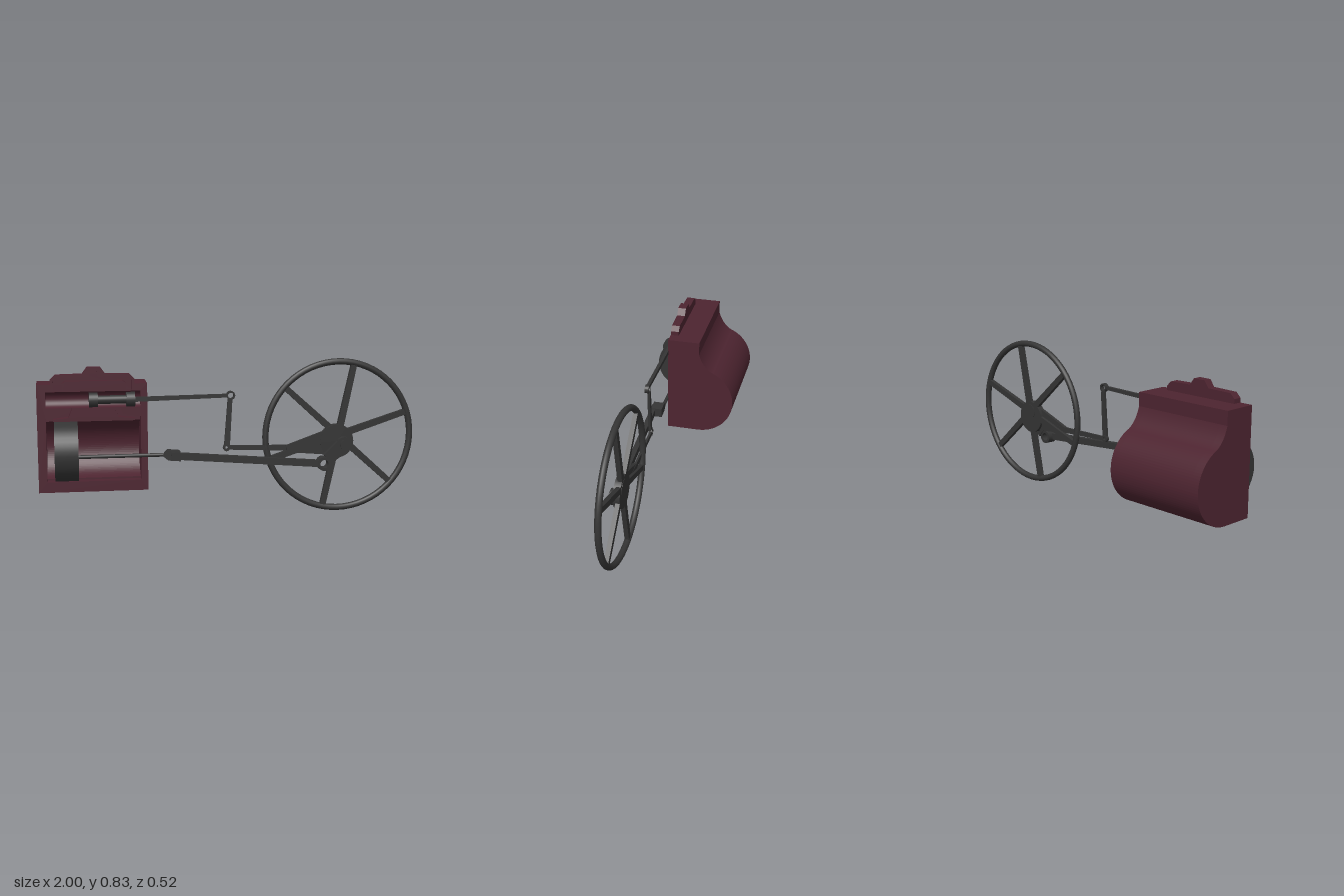
import * as THREE from 'three';

export function createModel() {
  const model = new THREE.Group();
  const red = new THREE.MeshStandardMaterial({ color: 0x4d2430, side: THREE.DoubleSide });
  red.name = 'dark red casting';
  const iron = new THREE.MeshStandardMaterial({ color: 0x343434 });
  iron.name = 'dark iron';

  const add = (name, geometry, material = iron) => {
    const mesh = new THREE.Mesh(geometry, material);
    mesh.name = name;
    model.add(mesh);
    return mesh;
  };
  const poly = (pts) => new THREE.Shape(pts.map(([x, y]) => new THREE.Vector2(x, y)));
  const extrude = (shape, depth) =>
    new THREE.ExtrudeGeometry(shape, { depth, bevelEnabled: false, curveSegments: 20 });
  // plate in the xy plane between two depths
  const plate = (name, shape, z0, z1, material = iron) =>
    add(name, extrude(shape, z1 - z0).translate(0, 0, z0), material);
  // cylinder lying along x
  const roundX = (name, x0, x1, y, z, r, sides = 24) =>
    add(name, new THREE.CylinderGeometry(r, r, x1 - x0, sides).rotateZ(Math.PI / 2).translate((x0 + x1) / 2, y, z));
  // disc facing z
  const disc = (name, x, y, r, z0, z1) =>
    add(name, new THREE.CylinderGeometry(r, r, z1 - z0, 32).rotateX(Math.PI / 2).translate(x, y, (z0 + z1) / 2));
  // flat bar between two points, with a width at each end
  const bar = (name, [ax, ay], [bx, by], wa, wb, z0, z1) => {
    const len = Math.hypot(bx - ax, by - ay);
    const nx = -(by - ay) / len / 2, ny = (bx - ax) / len / 2;
    plate(name, poly([
      [ax - nx * wa, ay - ny * wa], [bx - nx * wb, by - ny * wb],
      [bx + nx * wb, by + ny * wb], [ax + nx * wa, ay + ny * wa],
    ]), z0, z1);
  };
  // ring with an open bore
  const eye = (name, x, y, r, hole, z0, z1) => {
    const s = new THREE.Shape().absarc(x, y, r, 0, Math.PI * 2, false);
    s.holes.push(new THREE.Path().absarc(x, y, hole, 0, Math.PI * 2, true));
    plate(name, s, z0, z1);
  };

  // cylinder casting, extruded along x; the middle section carries the bore
  const profile = (bored) => {
    const s = new THREE.Shape();
    s.moveTo(-0.07, 0.155);
    s.lineTo(0.06, 0.155);
    s.absarc(0.06, 0.355, 0.2, -Math.PI / 2, 1.18, false);
    s.quadraticCurveTo(0.085, 0.57, 0.063, 0.645);
    s.lineTo(0.063, 0.717);
    s.lineTo(-0.07, 0.717);
    if (bored) s.absarc(-0.107, 0.37, 0.155, 1.33, -1.33, true);
    return s;
  };
  const section = (name, x0, x1, bored) =>
    add(name, extrude(profile(bored), x1 - x0).rotateY(Math.PI / 2).translate(x0, 0, 0), red);
  section('leftEndWall', -1, -0.955, false);
  section('cylinderBody', -0.955, -0.47, true);
  section('rightEndWall', -0.47, -0.435, false);

  // cut front face with bore, ports, valve chest and steam channel opened
  const lobe = [
    [-0.5, 0.717], [-0.5, 0.74], [-0.525, 0.765], [-0.65, 0.768], [-0.675, 0.803],
    [-0.742, 0.803], [-0.767, 0.768], [-0.905, 0.765], [-0.93, 0.74], [-0.93, 0.717],
  ];
  const face = poly([[-1, 0.155], [-0.435, 0.155], [-0.435, 0.717], ...lobe, [-1, 0.717]]);
  face.holes.push(poly([
    [-0.955, 0.21], [-0.47, 0.21], [-0.47, 0.545], [-0.56, 0.56], [-0.575, 0.595],
    [-0.47, 0.595], [-0.47, 0.68], [-0.515, 0.68], [-0.515, 0.735], [-0.53, 0.75],
    [-0.685, 0.752], [-0.693, 0.79], [-0.723, 0.79], [-0.731, 0.752],
    [-0.9, 0.75], [-0.915, 0.735], [-0.915, 0.68], [-0.955, 0.68], [-0.955, 0.595],
    [-0.86, 0.595], [-0.875, 0.56], [-0.955, 0.545],
  ]));
  plate('cutFrontFace', face, 0.07, 0.115, red);
  plate('steamChannelBack', poly([[-0.5, 0.68], ...lobe, [-0.93, 0.68]]), 0.07, 0.08, red);
  plate('channelIsland', poly([
    [-0.87, 0.68], [-0.545, 0.68], [-0.545, 0.72], [-0.56, 0.733], [-0.855, 0.733], [-0.87, 0.72],
  ]), 0.07, 0.115, red);
  plate('portIsland', poly([
    [-0.92, 0.525], [-0.5, 0.525], [-0.5, 0.535], [-0.585, 0.545], [-0.605, 0.595],
    [-0.82, 0.595], [-0.84, 0.545], [-0.92, 0.535],
  ]), 0.07, 0.115, red);
  // half-round valve chest lining
  add('valveChestLining', new THREE.CylinderGeometry(0.042, 0.042, 0.485, 16, 1, true, Math.PI / 2, Math.PI)
    .rotateZ(Math.PI / 2).translate(-0.7125, 0.637, 0.115), red);

  // piston, rod and crosshead
  roundX('piston', -0.915, -0.795, 0.37, 0.107, 0.155, 40);
  roundX('pistonRod', -0.8, -0.3, 0.34, 0.122, 0.01, 12);
  plate('crosshead', poly([
    [-0.36, 0.34], [-0.335, 0.318], [-0.27, 0.312], [-0.27, 0.362], [-0.335, 0.368],
  ]), 0.112, 0.172);

  // connecting rod and crank
  const pin = [0.495, 0.275];
  bar('connectingRod', [-0.32, 0.342], [0.465, 0.278], 0.036, 0.036, 0.15, 0.178);
  eye('connectingRodEye', ...pin, 0.037, 0.022, 0.124, 0.178);
  bar('crankArm', [0.52, 0.295], [0.61, 0.37], 0.062, 0.08, 0.12, 0.148);
  disc('crankBoss', 0.61, 0.37, 0.042, 0.1, 0.148);
  disc('crankShaftEnd', 0.61, 0.37, 0.025, 0.1, 0.155);

  // slide valve spools and stem
  roundX('valveCore', -0.735, -0.5, 0.637, 0.124, 0.022);
  [-0.735, -0.545].forEach((x) => roundX('valveSpool', x, x + 0.045, 0.637, 0.124, 0.038));
  bar('valveStem', [-0.5, 0.635], [-0.015, 0.645], 0.024, 0.018, 0.114, 0.132);
  eye('valveStemEye', 0, 0.645, 0.023, 0.015, 0.108, 0.13);

  // rocker link and eccentric rod
  bar('rockerLink', [-0.002, 0.625], [-0.018, 0.38], 0.024, 0.03, 0.104, 0.118);
  eye('rockerLinkEye', -0.02, 0.367, 0.019, 0.008, 0.1, 0.118);
  bar('eccentricRod', [-0.005, 0.366], [0.5, 0.35], 0.022, 0.036, 0.1, 0.112);
  bar('eccentricStrap', [0.3, 0.352], [0.56, 0.385], 0.035, 0.15, 0.102, 0.12);
  disc('eccentricDisc', 0.575, 0.387, 0.09, 0.086, 0.122);

  // flywheel
  const cx = 0.586, cy = 0.416, cz = 0.098;
  add('flywheelRim', new THREE.TorusGeometry(0.396, 0.017, 14, 64).translate(cx, cy, cz));
  for (let i = 0; i < 6; i++) {
    const a = THREE.MathUtils.degToRad(18 + 60 * i);
    bar('flywheelSpoke', [cx, cy], [cx + Math.cos(a) * 0.395, cy + Math.sin(a) * 0.395], 0.036, 0.03, 0.086, 0.11);
  }
  disc('flywheelHub', cx, cy, 0.045, 0.084, 0.112);
  return model;
}
